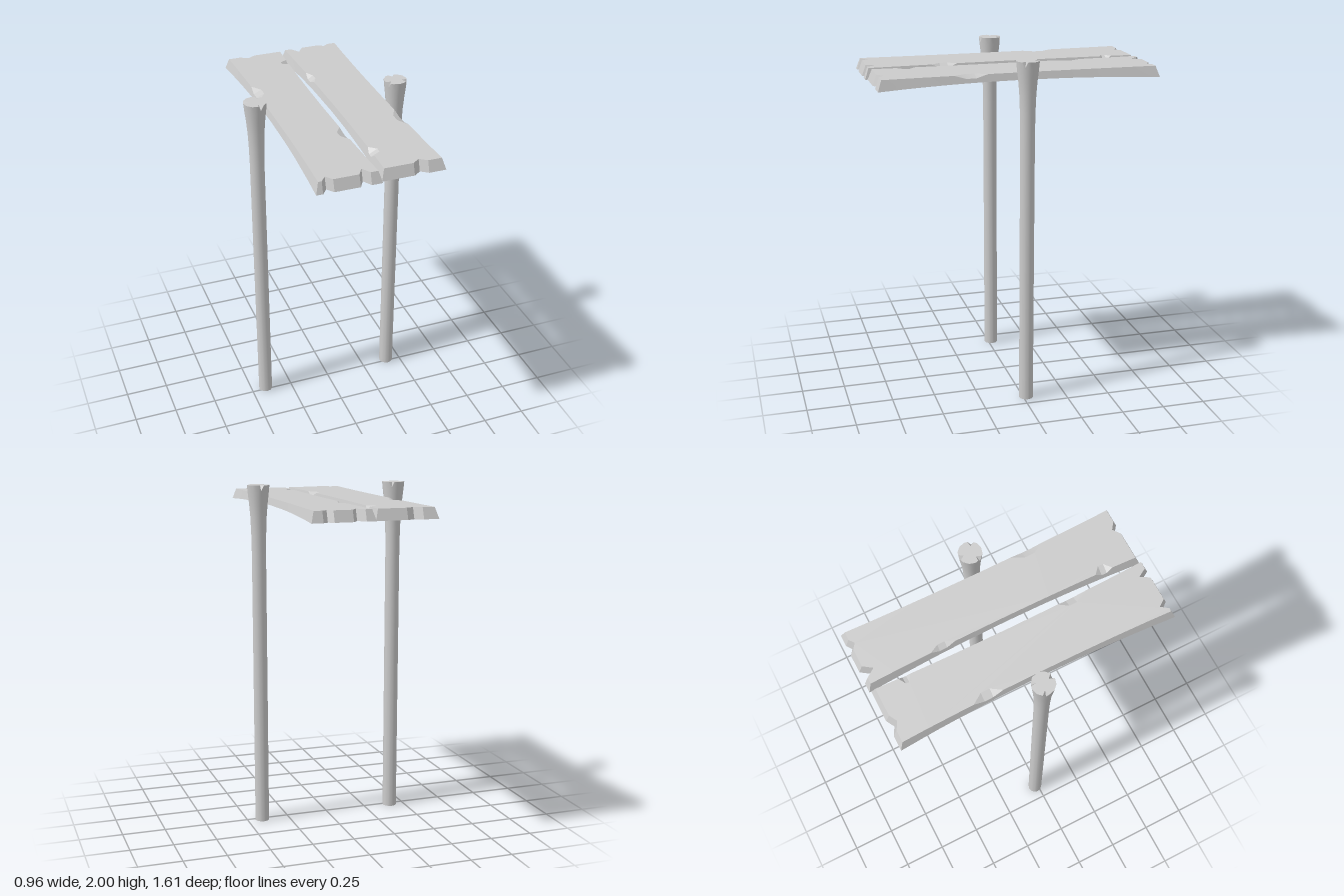
import * as THREE from 'three';
import { toCreasedNormals } from 'three/addons/utils/BufferGeometryUtils.js';

const V = (x, y, z) => new THREE.Vector3(x, y, z);

// Collects triangles from loops that run counter-clockwise seen from above
class Skin {
  pos = [];
  tri(a, b, c) {
    const n = b.clone().sub(a).cross(c.clone().sub(a));
    if (n.length() > 1e-9) for (const p of [a, b, c]) this.pos.push(p.x, p.y, p.z);
  }
  wall(upper, lower) {
    upper.forEach((a, i) => {
      const j = (i + 1) % upper.length;
      this.tri(a, lower[i], lower[j]);
      this.tri(a, lower[j], upper[j]);
    });
  }
  cap(loop, down = false) {
    const flat = loop.map(p => new THREE.Vector2(p.x, -p.z));
    for (const [a, b, c] of THREE.ShapeUtils.triangulateShape(flat, []))
      down ? this.tri(loop[a], loop[c], loop[b]) : this.tri(loop[a], loop[b], loop[c]);
  }
  mesh(name, crease) {
    const g = new THREE.BufferGeometry();
    g.setAttribute('position', new THREE.Float32BufferAttribute(this.pos, 3));
    const m = new THREE.Mesh(toCreasedNormals(g, crease), new THREE.MeshStandardMaterial({ color: 0xcccccc }));
    m.name = name;
    return m;
  }
}

// Post: a long shaft with a flared, nicked head and an open foot
function makePost(name, x, nicks) {
  const N = 24, skin = new Skin();
  const ring = (r, y) => Array.from({ length: N }, (_, i) => {
    const a = i / N * Math.PI * 2, k = i % 2 ? r * Math.cos(Math.PI / 12) : r;
    return V(k * Math.cos(a), y, -k * Math.sin(a));
  });
  const profile = [[0.066, 2], [0.062, 1.96], [0.055, 1.9], [0.048, 1.82], [0.044, 1.72], [0.042, 1.6], [0.042, 0]];
  const rings = profile.map(([r, y]) => ring(r, y));
  const top = rings[0].map(p => p.clone());
  for (const i of nicks) {
    top[i].multiply(V(0.58, 1, 0.58));
    rings[0][i].lerp(rings[1][i], 0.75);
  }
  skin.cap(top);
  skin.wall(top, rings[0]);
  for (let i = 0; i + 1 < rings.length; i++) skin.wall(rings[i], rings[i + 1]);
  const m = skin.mesh(name, 0.6);
  m.position.set(x, 0, -0.018);
  return m;
}

// Plank: waisted board with sloping sides, notched ends and chipped upper edges
// notches: [x, depth, half width]; chips: [side, z start, z end, depth]
function makePlank(name, { left, right, waist, z0, z1, front, back, chips }) {
  const TOP = 1.92, skin = new Skin();
  const bend = z => 1 - Math.min(1, (z / 0.8) ** 2);
  const baseY = z => 1.858 + 0.022 * bend(z);
  const top = [], mid = [], bottom = [];

  const sidePoint = (side, z) => {
    const f = bend(z), inset = 0.018 - 0.008 * f;
    const x = side < 0 ? left + waist * f : right - waist * f;
    const b = V(x, baseY(z), z), t = V(x - side * inset, TOP, z), m = t.clone();
    for (const [s, a, c, depth] of chips) {
      if (s !== side || z <= a + 1e-6 || z >= c - 1e-6) continue;
      const k = Math.min(1, Math.min(z - a, c - z) / (0.35 * (c - a)));
      m.lerp(b, 0.45 * k);
      t.x -= side * depth * k;
    }
    top.push(t); mid.push(m); bottom.push(b);
  };

  const endPoints = (dir, z, notches) => {
    const pts = [[left, 0, 0.018]];
    for (const [x, d, w] of notches) pts.push([x - w, 0, 0], [x, d, 0], [x + w, 0, 0]);
    pts.push([right, 0, -0.018]);
    if (dir < 0) pts.reverse();
    for (const [x, d, inset] of pts) {
      const zb = z - dir * d;
      const t = V(x + inset, TOP, zb - dir * 0.022);
      top.push(t); mid.push(t.clone()); bottom.push(V(x, baseY(z), zb));
    }
    return pts.length;
  };

  // Cross rows shared by both long sides, front to back
  const rows = [-0.65, -0.45, -0.25, 0, 0.25, 0.45, 0.65];
  for (const [, a, c] of chips) rows.push(a, a + 0.35 * (c - a), a + 0.65 * (c - a), c);
  const zs = [...new Set(rows)].sort((a, b) => b - a), m = zs.length;

  const F = endPoints(1, z1, front);
  zs.forEach(z => sidePoint(1, z));
  const B = endPoints(-1, z0, back);
  [...zs].reverse().forEach(z => sidePoint(-1, z));

  skin.cap(top);
  skin.wall(top, mid);
  skin.wall(mid, bottom);

  // Arched underside: two notched ends joined by strips
  const R = j => bottom[F + j], L = j => bottom[F + m + B + m - 1 - j];
  skin.cap([...bottom.slice(0, F), R(0), L(0)], true);
  skin.cap([R(m - 1), ...bottom.slice(F + m, F + m + B), L(m - 1)], true);
  for (let j = 0; j + 1 < m; j++) {
    skin.tri(L(j), R(j + 1), R(j));
    skin.tri(L(j), L(j + 1), R(j + 1));
  }
  return skin.mesh(name, 0.25);
}

export function createModel() {
  const model = new THREE.Group();
  model.name = 'boardOnPosts';
  model.add(
    makePost('rightPost', -0.412, [4, 11, 19]),
    makePost('leftPost', 0.412, [6, 14, 22]),
    makePlank('rightPlank', {
      left: -0.357, right: 0, waist: 0.024, z0: -0.8, z1: 0.803,
      front: [[-0.29, 0.04, 0.03], [-0.09, 0.05, 0.03]],
      back: [[-0.225, 0.025, 0.045]],
      chips: [[-1, -0.37, -0.2, 0.04], [1, 0.27, 0.42, 0.035], [1, -0.65, -0.585, 0.04]],
    }),
    makePlank('leftPlank', {
      left: 0, right: 0.355, waist: 0.022, z0: -0.81, z1: 0.79,
      front: [[0.22, 0.03, 0.04]],
      back: [[0.09, 0.05, 0.035], [0.26, 0.022, 0.03]],
      chips: [[-1, -0.44, -0.3, 0.025], [-1, 0.53, 0.63, 0.04], [1, 0.18, 0.37, 0.035]],
    }),
  );
  return model;
}
